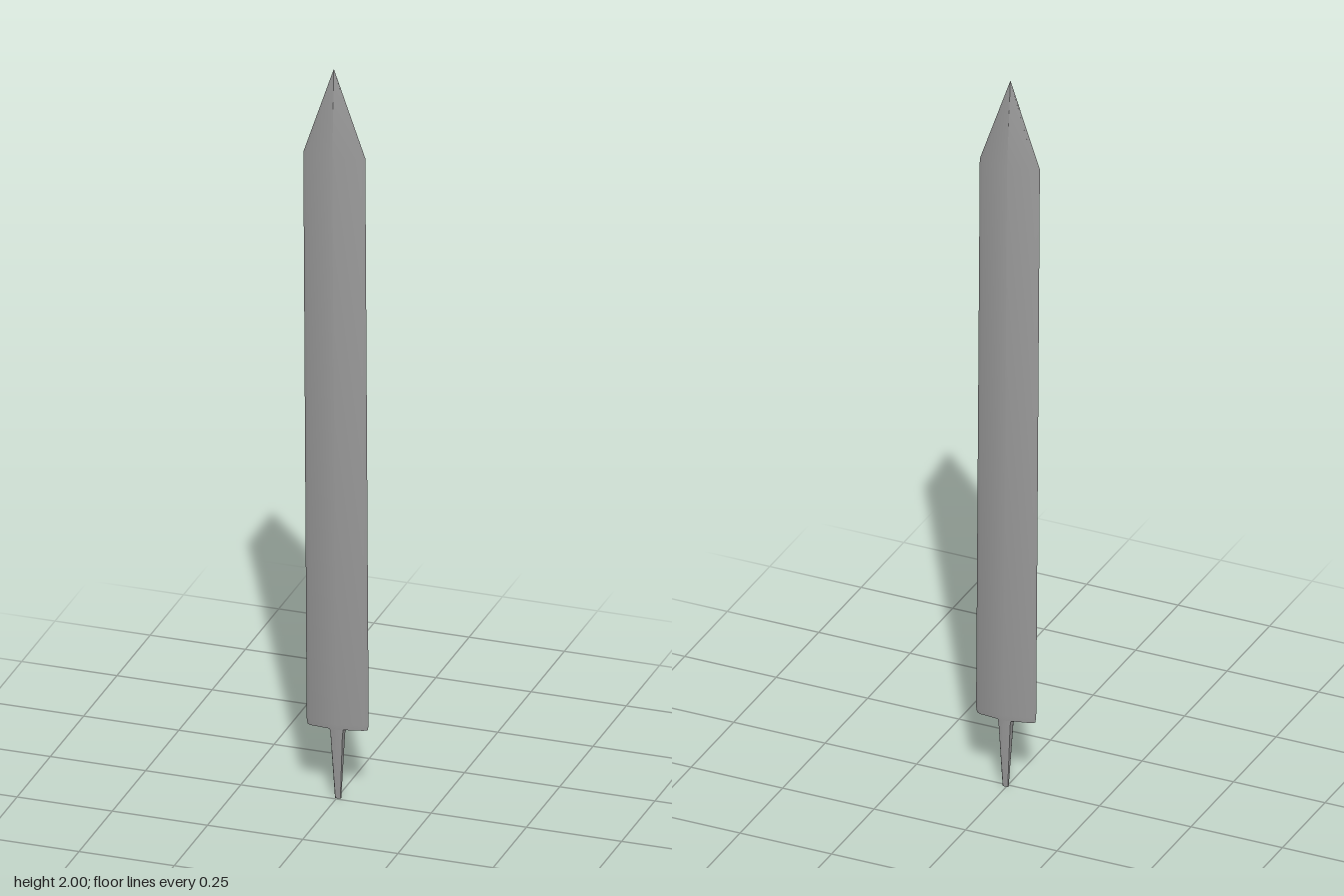
import * as THREE from 'three';
import { toCreasedNormals } from 'three/addons/utils/BufferGeometryUtils.js';

const YAW = -0.08;
const material = new THREE.MeshStandardMaterial({ color: 0x9a9a9a });

// Unit cross-sections (x, z), running from +x towards +z
const BLADE = [[1, 0], [0.88, 0.35], [0, 1], [-0.88, 0.35], [-1, 0], [-0.88, -0.35], [0, -1], [0.88, -0.35]];
const TANG = [[1, 0], [0.8, 0.75], [0, 1], [-0.8, 0.75], [-1, 0], [-0.8, -0.75], [0, -1], [0.8, -0.75]];

// Loft a section through stations [y, halfWidth, halfThickness], capped at both ends
function loft(name, section, stations) {
  const n = section.length, positions = [], index = [];
  for (const [y, w, t] of stations) {
    for (const [u, v] of section) positions.push(u * w, y, v * t);
  }
  for (let s = 0; s < stations.length - 1; s++) {
    for (let i = 0; i < n; i++) {
      const a = s * n + i, b = s * n + (i + 1) % n;
      index.push(a, a + n, b, b, a + n, b + n);
    }
  }
  const top = (stations.length - 1) * n;
  for (let i = 1; i < n - 1; i++) {
    index.push(0, i, i + 1, top, top + i + 1, top + i);
  }
  const geometry = new THREE.BufferGeometry();
  geometry.setAttribute('position', new THREE.Float32BufferAttribute(positions, 3));
  geometry.setIndex(index);

  // Turn the section slightly and lean the whole length
  const p = geometry.attributes.position;
  for (let i = 0; i < p.count; i++) {
    const x = p.getX(i), y = p.getY(i), z = p.getZ(i);
    p.setX(i, x * Math.cos(YAW) - z * Math.sin(YAW) + 0.003 - 0.003 * y);
    p.setZ(i, x * Math.sin(YAW) + z * Math.cos(YAW) - 0.0075 + 0.0075 * y);
  }
  const mesh = new THREE.Mesh(toCreasedNormals(geometry, 0.6), material);
  mesh.name = name;
  return mesh;
}

export function createModel() {
  const group = new THREE.Group();
  group.name = 'bladeWithTang';
  // Long blade with a shallow ridge, small shoulder chamfer and pointed tip
  group.add(loft('blade', BLADE, [
    [0.195, 0.077, 0.0175], [0.21, 0.0795, 0.0195], [1.765, 0.0795, 0.0195], [2, 0.0005, 0.0005],
  ]));
  // Tapering tang that flares a little where it meets the shoulders
  group.add(loft('tang', TANG, [
    [0, 0.008, 0.003], [0.18, 0.019, 0.0165], [0.205, 0.024, 0.0175],
  ]));
  return group;
}
